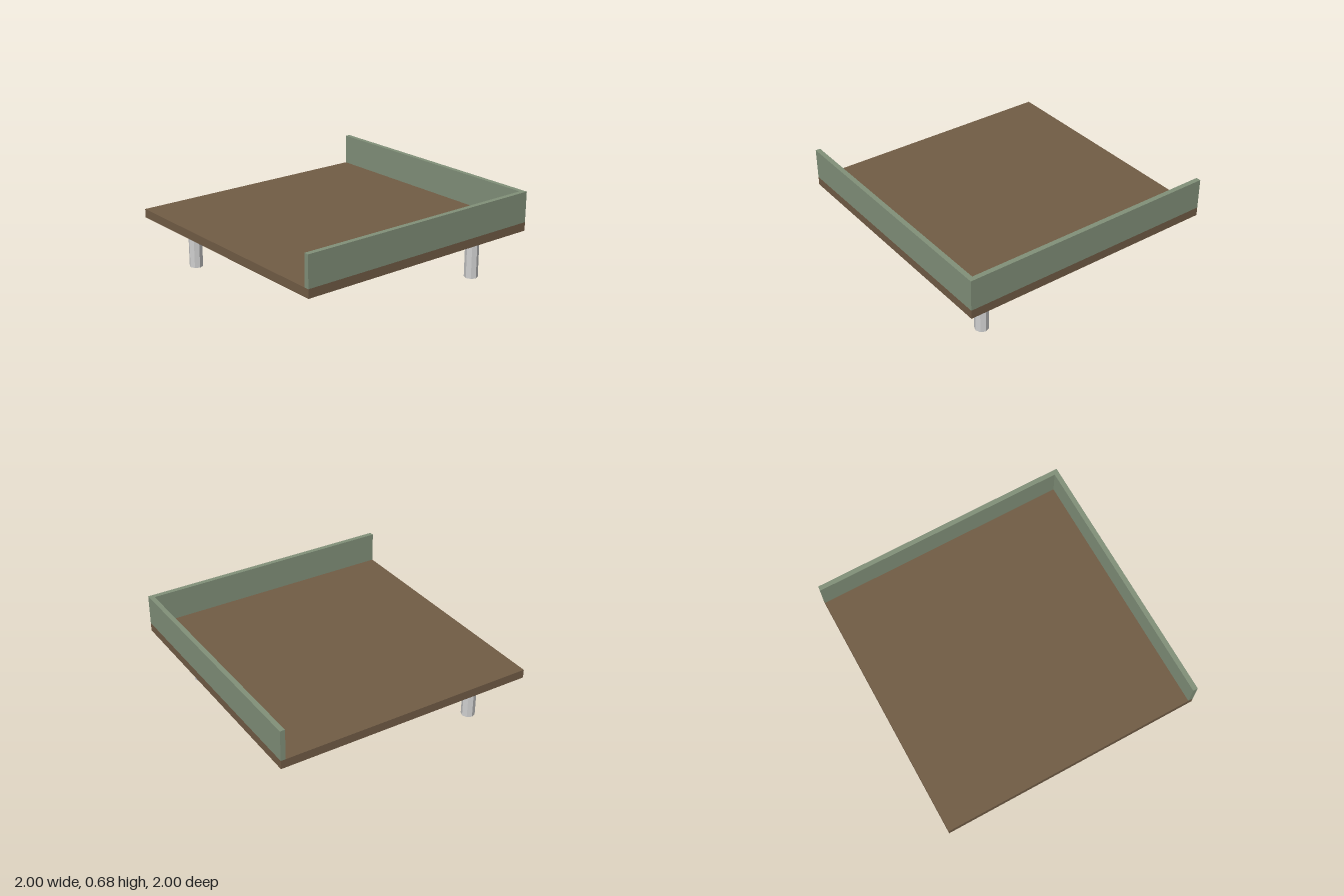
import * as THREE from 'three';

export function createModel() {
  const model = new THREE.Group();
  const wood = new THREE.MeshStandardMaterial({ color: 0x725d46 });
  wood.name = 'brown wood';
  const green = new THREE.MeshStandardMaterial({ color: 0x82917a });
  green.name = 'sage green';
  const metal = new THREE.MeshStandardMaterial({ color: 0xd0d0d0 });
  metal.name = 'light grey';
  metal.flatShading = true;

  const legTop = 0.377, deckTop = 0.443, wallTop = 0.677, wall = 0.037;

  const add = (name, geometry, material, x, y, z) => {
    const mesh = new THREE.Mesh(geometry, material);
    mesh.name = name;
    mesh.position.set(x, y, z);
    model.add(mesh);
  };

  // Square deck
  add('deck', new THREE.BoxGeometry(2, deckTop - legTop, 2), wood, 0, (legTop + deckTop) / 2, 0);

  // L-shaped low wall along the back and the left side
  const inner = 1 - wall;
  const outline = new THREE.Shape([
    [-1, inner], [inner, inner], [inner, -1], [1, -1], [1, 1], [-1, 1],
  ].map(([x, y]) => new THREE.Vector2(x, y)));
  const wallGeometry = new THREE.ExtrudeGeometry(outline, { depth: wallTop - deckTop, bevelEnabled: false });
  wallGeometry.rotateX(-Math.PI / 2);
  add('cornerWall', wallGeometry, green, 0, deckTop, 0);

  // Four octagonal legs on one diagonal
  const legGeometry = new THREE.CylinderGeometry(0.052, 0.052, legTop, 8);
  for (let i = 0; i < 4; i++) {
    const d = -0.735 + i * 0.49;
    add(`leg${i + 1}`, legGeometry, metal, d, legTop / 2, -d);
  }
  return model;
}
